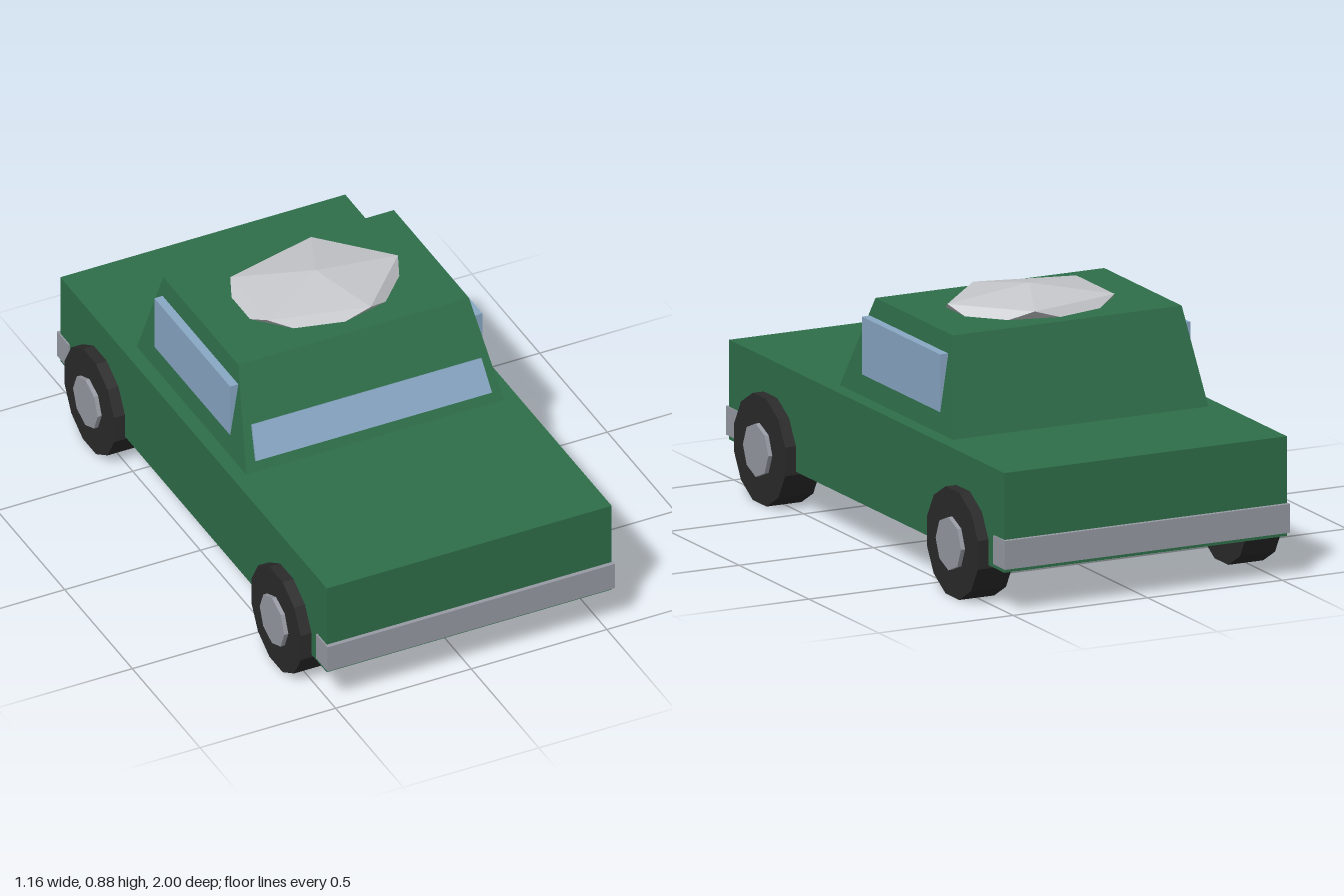
import * as THREE from 'three';

const paint = (name, color) => {
  const m = new THREE.MeshStandardMaterial({ color });
  m.name = name;
  return m;
};

// Give every face its own normal for the low-poly look
const faceted = (geometry) => {
  const g = geometry.index ? geometry.toNonIndexed() : geometry;
  g.computeVertexNormals();
  return g;
};

export function createModel() {
  const green = paint('bodyGreen', 0x2f6f4a);
  const glass = paint('windowBlue', 0x8aa9c6);
  const metal = paint('trimGrey', 0x989ba4);
  const rubber = paint('tyreBlack', 0x2b2b2b);
  const pale = paint('roofLoadGrey', 0xc6c8cc);

  const model = new THREE.Group();
  model.name = 'car';
  const add = (name, geometry, material, x, y, z, parent = model) => {
    const mesh = new THREE.Mesh(geometry, material);
    mesh.name = name;
    mesh.position.set(x, y, z);
    parent.add(mesh);
    return mesh;
  };

  // Lower body
  add('body', new THREE.BoxGeometry(1.05, 0.34, 1.97), green, 0, 0.315, 0);

  // Cabin: a box whose top face is pulled in
  const cabinGeometry = new THREE.BoxGeometry(0.95, 0.328, 0.81);
  const p = cabinGeometry.attributes.position;
  for (let i = 0; i < p.count; i++) {
    if (p.getY(i) < 0) continue;
    p.setX(i, Math.sign(p.getX(i)) * 0.425);
    p.setZ(i, p.getZ(i) > 0 ? 0.245 : -0.31);
  }
  add('cabin', faceted(cabinGeometry), green, 0, 0.649, -0.115);

  // Windscreen: thin tapered plate lying on the sloped front of the cabin
  const pane = new THREE.Shape([
    new THREE.Vector2(-0.435, 0), new THREE.Vector2(0.435, 0),
    new THREE.Vector2(0.423, 0.122), new THREE.Vector2(-0.423, 0.122),
  ]);
  const screen = add('windscreen',
    new THREE.ExtrudeGeometry(pane, { depth: 0.008, bevelEnabled: false }),
    glass, 0, 0.518, 0.274);
  screen.rotation.x = -Math.atan2(0.16, 0.328);

  // Upright side windows, partly sunk into the cabin sides
  for (const s of [1, -1]) {
    add(s > 0 ? 'leftWindow' : 'rightWindow',
      new THREE.BoxGeometry(0.03, 0.197, 0.56), glass, s * 0.45, 0.651, -0.13);
  }

  // Bumpers
  for (const s of [1, -1]) {
    add(s > 0 ? 'frontBumper' : 'rearBumper',
      new THREE.BoxGeometry(1.06, 0.098, 0.085), metal, 0, 0.208, s * 0.9575);
  }

  // Wheels with hubcaps
  const tyreGeometry = faceted(
    new THREE.CylinderGeometry(0.189, 0.189, 0.13, 12).rotateY(Math.PI / 12).rotateZ(Math.PI / 2));
  const hubGeometry = faceted(
    new THREE.CylinderGeometry(0.091, 0.091, 0.14, 8).rotateZ(Math.PI / 2));
  for (const sx of [1, -1]) {
    for (const sz of [1, -1]) {
      const wheel = new THREE.Group();
      wheel.name = (sz > 0 ? 'front' : 'rear') + (sx > 0 ? 'Left' : 'Right') + 'Wheel';
      wheel.position.set(sx * 0.5, 0.183, sz * 0.69);
      add('tyre', tyreGeometry, rubber, 0, 0, 0, wheel);
      add('hubcap', hubGeometry, metal, sx * 0.01, 0, 0, wheel);
      model.add(wheel);
    }
  }

  // Flattened faceted lump on the roof, one corner pointing up
  const golden = (1 + Math.sqrt(5)) / 2;
  const lump = new THREE.IcosahedronGeometry(1, 0)
    .rotateZ(-Math.atan(1 / golden))
    .scale(0.34, 0.067, 0.26);
  add('roofLoad', faceted(lump), pale, 0, 0.813, -0.152);

  return model;
}
